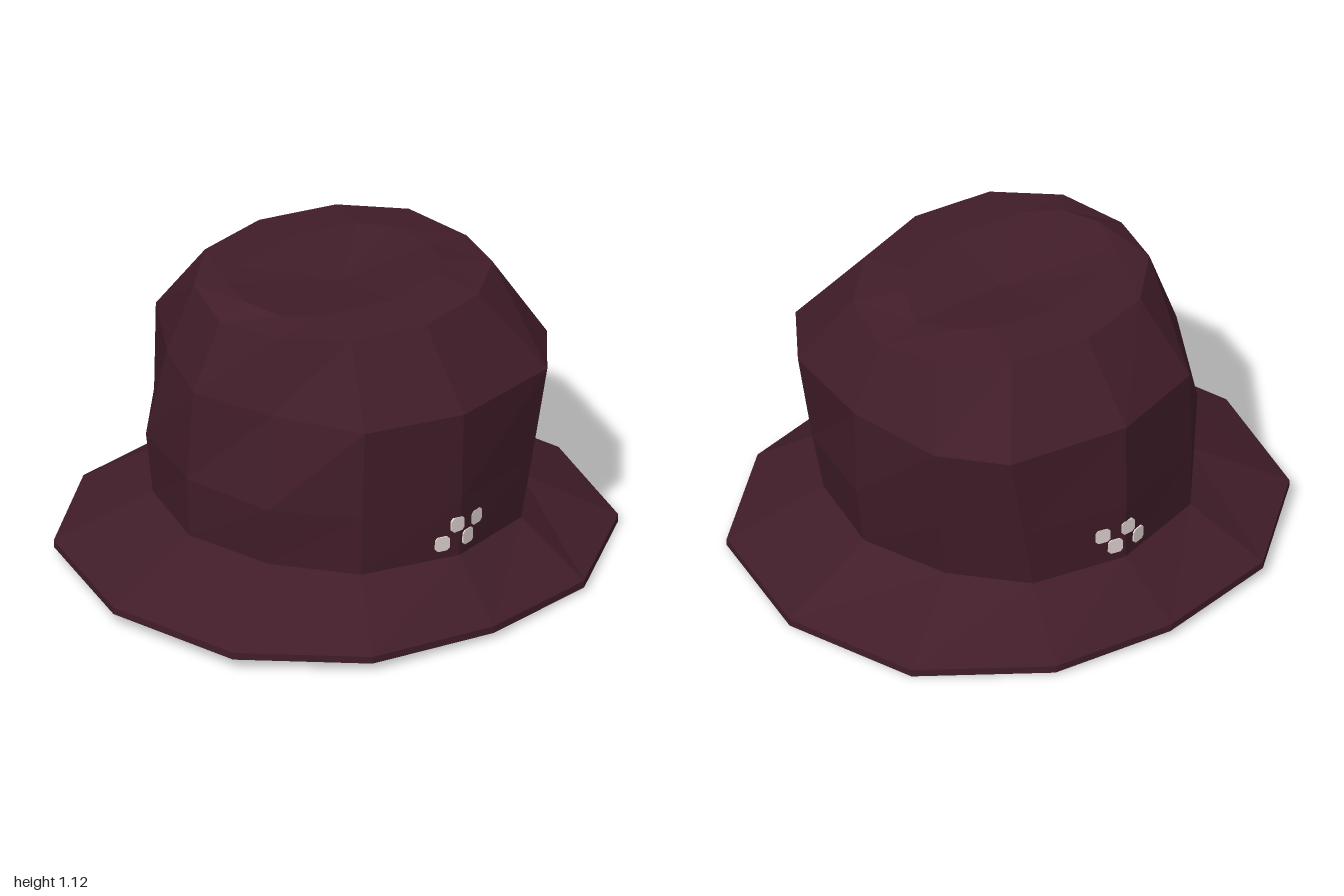
import * as THREE from 'three';

// Twelve-sided ring from seven [x, z, y] points of its front half, mirrored to the back
function ring(half) {
  const front = half.map(([x, z, y]) => [x, y, z]);
  const back = half.slice(1, -1).reverse().map(([x, z, y]) => [x, y, -z]);
  return [...front, ...back];
}

// Ring whose height follows the slight sideways tilt of the hat
const tilted = (half, y) => ring(half.map(([x, z]) => [x, z, y - 0.0225 * x]));
const point = (x, y) => Array.from({ length: 12 }, () => [x, y, 0]);

// Flat-faced skin through successive rings, running from the underside upwards
function loft(rings) {
  const pos = [];
  const tri = (a, b, c) => {
    const ab = new THREE.Vector3(...b).sub(new THREE.Vector3(...a));
    const ac = new THREE.Vector3(...c).sub(new THREE.Vector3(...a));
    if (ab.cross(ac).length() > 1e-6) pos.push(...a, ...b, ...c);
  };
  for (let r = 0; r < rings.length - 1; r++) {
    for (let i = 0; i < 12; i++) {
      const j = (i + 1) % 12, a = rings[r], b = rings[r + 1];
      tri(a[i], b[i], a[j]);
      tri(a[j], b[i], b[j]);
    }
  }
  const g = new THREE.BufferGeometry();
  g.setAttribute('position', new THREE.Float32BufferAttribute(pos, 3));
  g.computeVertexNormals();
  return g;
}

export function createModel() {
  const felt = new THREE.MeshStandardMaterial({ color: 0x411d29 });
  felt.name = 'burgundy felt';
  const pale = new THREE.MeshStandardMaterial({ color: 0xe0d2d2 });
  pale.name = 'pale studs';

  const hat = new THREE.Group();
  hat.name = 'bucketHat';
  const add = (name, geometry, material, parent = hat) => {
    const mesh = new THREE.Mesh(geometry, material);
    mesh.name = name;
    parent.add(mesh);
    return mesh;
  };

  const edge = [[1, 0], [0.865, 0.515], [0.465, 0.83], [0, 0.905], [-0.485, 0.83], [-0.865, 0.515], [-1, 0]];
  const base = [[0.66, 0], [0.565, 0.34], [0.37, 0.59], [0.02, 0.68], [-0.35, 0.59], [-0.565, 0.33], [-0.66, 0]];
  const middle = [[0.695, 0], [0.605, 0.355], [0.415, 0.595], [0.025, 0.69], [-0.35, 0.597], [-0.58, 0.35], [-0.668, 0]];
  const shoulder = [[0.704, 0], [0.65, 0.38], [0.48, 0.6], [0.03, 0.695], [-0.34, 0.6], [-0.525, 0.3], [-0.642, 0]];

  // Sloping brim with a thin edge
  add('brim', loft([
    tilted(base, 0.205), tilted(edge, 0.025), tilted(edge, 0.052), tilted(base, 0.235),
  ]), felt);

  // Closed underside of the crown
  add('innerLining', loft([point(0, 0.205), tilted(base, 0.205)]), felt);

  // Crown with a bevelled shoulder and a shallow dip on top
  add('crown', loft([
    tilted(base, 0.235),
    tilted(middle, 0.465),
    tilted(shoulder, 0.808),
    ring([[0.585, 0, 1.035], [0.515, 0.24, 1.06], [0.32, 0.41, 1.07], [0.03, 0.48, 1.077],
      [-0.26, 0.42, 1.085], [-0.45, 0.24, 1.085], [-0.52, 0, 1.065]]),
    ring([[0.42, 0, 1.06], [0.36, 0.15, 1.085], [0.27, 0.23, 1.093], [0.03, 0.29, 1.095],
      [-0.26, 0.23, 1.1], [-0.37, 0.15, 1.105], [-0.415, 0, 1.118]]),
    point(0.03, 1.045),
  ]), felt);

  // Rounded-square studs, a cluster of four on the front and on the back
  const s = 0.028, c = 0.018;
  const outline = new THREE.Shape(
    [[s, -c], [s, c], [c, s], [-c, s], [-s, c], [-s, -c], [-c, -s], [c, -s]].map(p => new THREE.Vector2(...p)));
  const stud = new THREE.ExtrudeGeometry(outline, { depth: 0.008, bevelEnabled: false });
  for (const side of [1, -1]) {
    const cluster = new THREE.Group();
    cluster.name = side > 0 ? 'frontStuds' : 'backStuds';
    hat.add(cluster);
    for (const [x, y] of [[-0.045, 0.298], [0.012, 0.365], [0.062, 0.298], [0.11, 0.355]]) {
      const slope = x > 0.04 ? -0.255 : x < 0 ? 0.245 : 0;
      const mesh = add('stud', stud, pale, cluster);
      mesh.position.set(x, y, side * (0.681 - Math.abs(x - 0.02) * 0.25));
      mesh.rotation.y = side > 0 ? -Math.atan(slope) : Math.PI + Math.atan(slope);
    }
  }
  return hat;
}
